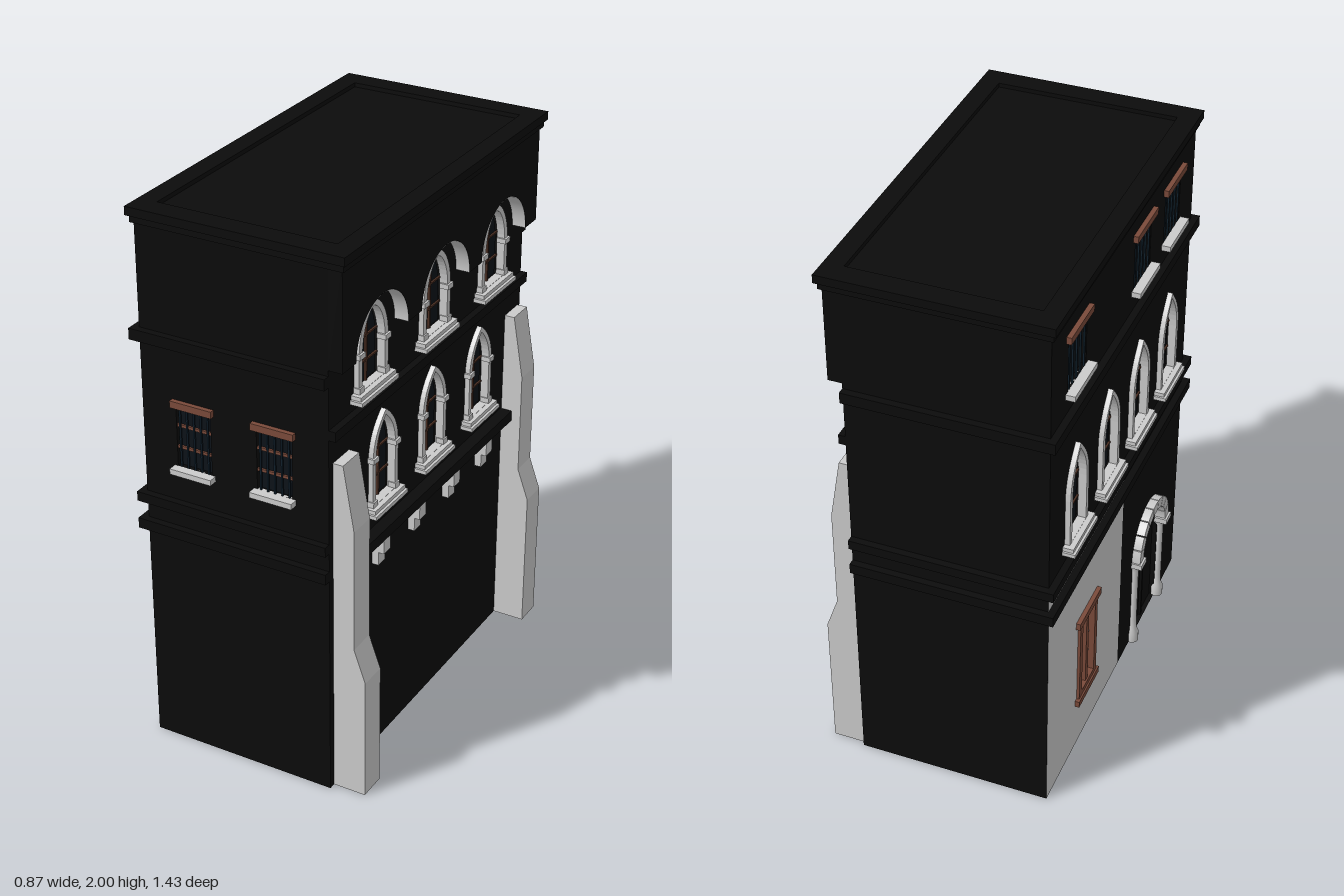
import * as THREE from 'three';

const mat = (color) => new THREE.MeshStandardMaterial({ color, side: THREE.DoubleSide });
const STONE = mat(0xcccccc), DARK = mat(0x0b0b0b), WOOD = mat(0x7a4a3a), BAR = mat(0x4a2e22),
  ORANGE = mat(0xd85a10), GLASS = mat(0x0c1218), IRON = mat(0x10202c);

const XL = -0.39, XR = 0.31, ZF = 0.685, TOP = 1.97, T = 0.02;

function add(parent, name, geo, material, x = 0, y = 0, z = 0) {
  const m = new THREE.Mesh(geo, material);
  m.name = name;
  m.position.set(x, y, z);
  parent.add(m);
  return m;
}

// box given by its min and max corners
function slab(parent, name, material, x0, x1, y0, y1, z0, z1) {
  return add(parent, name, new THREE.BoxGeometry(x1 - x0, y1 - y0, z1 - z0), material,
    (x0 + x1) / 2, (y0 + y1) / 2, (z0 + z1) / 2);
}

const poly = (pts) => new THREE.Shape(pts.map(([x, y]) => new THREE.Vector2(x, y)));
const rect = (x0, x1, y0, y1) => poly([[x0, y0], [x1, y0], [x1, y1], [x0, y1]]);

// opening with straight jambs and an arched head; point: 1 = pointed, 0 = round
function arch(cx, hw, y0, spring, top, point) {
  const r = top - spring, k = 0.55, c = hw * (k - 0.3 * point);
  const s = new THREE.Shape();
  s.moveTo(cx - hw, y0);
  s.lineTo(cx + hw, y0);
  s.lineTo(cx + hw, spring);
  s.bezierCurveTo(cx + hw, spring + r * k, cx + c, top - r * 0.17 * point, cx, top);
  s.bezierCurveTo(cx - c, top - r * 0.17 * point, cx - hw, spring + r * k, cx - hw, spring);
  s.closePath();
  return s;
}

function extrude(parent, name, shape, holes, depth, material, z = 0) {
  shape.holes.push(...holes);
  return add(parent, name, new THREE.ExtrudeGeometry(shape, { depth, bevelEnabled: false, curveSegments: 10 }), material, 0, 0, z);
}

// a facade frame: local x to the right, y up, z outward
function facade(root, name, x, z, turn) {
  const g = new THREE.Group();
  g.name = name;
  g.position.set(x, 0, z);
  g.rotation.y = turn;
  root.add(g);
  return g;
}

// arched window: stone surround, capitals, stepped sill, glazing bars
function archedWindow(parent, cx, o) {
  const g = new THREE.Group();
  g.name = 'archedWindow';
  g.position.x = cx;
  parent.add(g);
  const { hw, y0, spring, top, point, t, sill, out } = o, iw = hw - t;
  extrude(g, 'surround', arch(0, hw, y0, spring, top, point),
    [arch(0, iw, y0 + 0.001, spring, top - t, point)], 0.03, STONE, -0.012);
  add(g, 'glass', new THREE.ShapeGeometry(arch(0, iw, y0, spring, top - t, point)), GLASS, 0, 0, -0.018);
  slab(g, 'centreBar', BAR, -0.004, 0.004, y0, top - t, -0.016, -0.008);
  for (const f of [0.25, 0.55]) {
    const y = y0 + (top - y0) * f;
    slab(g, 'crossBar', BAR, -iw, iw, y - 0.003, y + 0.003, -0.016, -0.009);
  }
  if (o.capitals) for (const s of [-1, 1]) {
    add(g, 'capital', new THREE.BoxGeometry(t + 0.014, 0.018, 0.035), STONE, s * (hw - t / 2), spring, 0.008);
    add(g, 'columnBase', new THREE.BoxGeometry(t + 0.008, 0.02, 0.03), STONE, s * (hw - t / 2), y0 + 0.01, 0.008);
  }
  slab(g, 'sillUpper', STONE, -sill + 0.005, sill - 0.005, y0 - 0.014, y0, -0.01, out - 0.008);
  slab(g, 'sillLower', STONE, -sill, sill, y0 - 0.03, y0 - 0.016, -0.01, out);
}
const archHole = (cx, o) => arch(cx, o.hw - o.t / 2, o.y0, o.spring, o.top - o.t / 2, o.point);

// small rectangular window: wooden lintel, stone sill, bars
function barredWindow(parent, cx, y0, y1, w, rails) {
  const g = new THREE.Group();
  g.name = 'barredWindow';
  g.position.x = cx;
  parent.add(g);
  const h = w * 0.42;
  slab(g, 'lintel', WOOD, -w / 2, w / 2, y1, y1 + 0.025, -0.01, 0.017);
  slab(g, 'sill', STONE, -w / 2, w / 2, y0 - 0.02, y0, -0.01, 0.032);
  slab(g, 'glass', GLASS, -h, h, y0, y1, -0.02, -0.016);
  for (let i = -2; i <= 2; i++) slab(g, 'ironBar', IRON, i * h * 0.4 - 0.003, i * h * 0.4 + 0.003, y0, y1, -0.006, 0);
  if (rails) for (const f of [0.32, 0.68]) {
    const y = y0 + (y1 - y0) * f;
    slab(g, 'rail', WOOD, -h, h, y - 0.005, y + 0.005, -0.012, -0.004);
  }
}

export function createModel() {
  const root = new THREE.Group();
  root.name = 'townHouse';

  // front and back walls
  const mid = (XL + XR) / 2, half = (XR - XL) / 2;
  const front = facade(root, 'frontFacade', mid, ZF, 0);
  const fx = [-0.195 - mid, 0.11 - mid];
  extrude(front, 'frontWall', rect(-half, half, 0, TOP),
    fx.map((x) => rect(x - 0.066, x + 0.066, 1.105, 1.325)), T, DARK, -T);
  fx.forEach((x) => barredWindow(front, x, 1.105, 1.325, 0.158, true));
  const back = facade(root, 'backFacade', mid, -ZF, Math.PI);
  extrude(back, 'backWall', rect(-half, half, 0, TOP), [], T, DARK, -T);

  // right wall with two rows of arched windows
  const right = facade(root, 'rightFacade', XR, 0, Math.PI / 2);
  const upper = { hw: 0.095, y0: 1.45, spring: 1.58, top: 1.742, point: 0.3, t: 0.022, sill: 0.12, out: 0.045, capitals: true };
  const lower = { hw: 0.085, y0: 0.985, spring: 1.16, top: 1.315, point: 0.8, t: 0.02, sill: 0.108, out: 0.045, capitals: true };
  const ux = [-0.43, 0, 0.43], lx = [-0.345, 0, 0.345];
  extrude(right, 'rightWall', rect(-ZF, ZF, 0, TOP),
    [...ux.map((x) => archHole(x, upper)), ...lx.map((x) => archHole(x, lower))], T, DARK, -T);
  ux.forEach((x) => archedWindow(right, x, upper));
  lx.forEach((x) => archedWindow(right, x, lower));

  // overhanging top storey, arched over each upper window
  const R = 0.17, JUT = 0.05, over = new THREE.Shape();
  over.moveTo(-ZF, 1.6);
  for (const x of ux) {
    over.lineTo(x - R, 1.6);
    over.absarc(x, 1.6, R, Math.PI, 0, true);
    const soffit = add(right, 'archSoffit',
      new THREE.CylinderGeometry(R - 0.001, R - 0.001, JUT, 24, 1, true, Math.PI / 2, Math.PI), STONE, x, 1.6, JUT / 2);
    soffit.rotation.x = Math.PI / 2;
  }
  over.lineTo(ZF, 1.6);
  over.lineTo(ZF, TOP);
  over.lineTo(-ZF, TOP);
  extrude(right, 'overhang', over, [], JUT, DARK);

  // right ledges and the corbels under the lower one
  slab(right, 'stringCourse', DARK, -ZF, ZF, 1.355, 1.39, 0, 0.025);
  slab(right, 'ledge', DARK, -0.56, 0.56, 0.85, 0.89, 0, 0.045);
  for (const x of [-0.38, -0.127, 0.127, 0.38]) {
    slab(right, 'corbelTop', STONE, x - 0.023, x + 0.023, 0.8, 0.85, 0, 0.045);
    slab(right, 'corbelFoot', STONE, x - 0.023, x + 0.023, 0.75, 0.8, 0, 0.025);
  }

  // buttresses
  for (const [z, drop] of [[0.557, 0.07], [-0.67, 0]]) {
    extrude(root, 'buttress', poly([[0.31, 0], [0.43, 0], [0.43, 0.53 - drop], [0.387, 0.65 - drop],
      [0.387, 1.03], [0.347, 1.262], [0.31, 1.262]]), [], 0.103, STONE, z);
  }

  // left wall: dark upper part and a plastered corner
  const left = facade(root, 'leftFacade', XL, 0, -Math.PI / 2);
  const slots = [-0.46, -0.155, 0.15, 0.455], small = [slots[0], slots[2], slots[3]], DX = 0.34, WX = -0.31;
  const gothic = { hw: 0.085, y0: 1.05, spring: 1.23, top: 1.41, point: 1, t: 0.02, sill: 0.108, out: 0.045 };
  extrude(left, 'leftWall', poly([[0.05, 0], [ZF, 0], [ZF, TOP], [-ZF, TOP], [-ZF, 0.94], [0.05, 0.94]]),
    [...slots.map((x) => archHole(x, gothic)), ...small.map((x) => rect(x - 0.08, x + 0.08, 1.66, 1.85)),
      arch(DX, 0.125, 0.001, 0.39, 0.515, 0)], T, DARK, -T);
  extrude(left, 'plasterWall', rect(-ZF, 0.05, 0, 0.94), [rect(WX - 0.08, WX + 0.08, 0.22, 0.565)], T, STONE, -T);
  slots.forEach((x) => archedWindow(left, x, gothic));
  small.forEach((x) => barredWindow(left, x, 1.66, 1.85, 0.2, false));

  // shuttered ground floor window
  extrude(left, 'windowFrame', rect(WX - 0.085, WX + 0.085, 0.215, 0.57),
    [rect(WX - 0.06, WX + 0.06, 0.24, 0.55)], 0.025, WOOD, -0.015);
  slab(left, 'windowLintel', WOOD, WX - 0.105, WX + 0.105, 0.565, 0.592, -0.01, 0.016);
  slab(left, 'windowSill', WOOD, WX - 0.1, WX + 0.1, 0.195, 0.22, -0.01, 0.016);
  slab(left, 'windowPane', ORANGE, WX - 0.07, WX + 0.07, 0.23, 0.56, -0.019, -0.013);
  slab(left, 'windowMullion', WOOD, WX - 0.008, WX + 0.014, 0.23, 0.56, -0.013, 0.004);
  for (const y of [0.25, 0.36, 0.46]) slab(left, 'paleLight', STONE, WX + 0.022, WX + 0.055, y, y + 0.085, -0.013, -0.01);

  // doorway: leaf, columns and voussoir arch
  add(left, 'door', new THREE.ShapeGeometry(arch(DX, 0.125, 0, 0.39, 0.515, 0)), DARK, 0, 0, -0.018);
  slab(left, 'doorPost', DARK, DX - 0.006, DX + 0.006, 0, 0.515, -0.018, -0.008);
  slab(left, 'doorRail', DARK, DX - 0.125, DX + 0.125, 0.38, 0.395, -0.018, -0.008);
  for (const s of [-1, 1]) {
    const x = DX + s * 0.142;
    const shaft = [[0.024, 0], [0.024, 0.04], [0.016, 0.06], [0.014, 0.1], [0.014, 0.34], [0.024, 0.37], [0.024, 0.39]];
    add(left, 'doorColumn', new THREE.LatheGeometry(shaft.map(([r, y]) => new THREE.Vector2(r, y)), 12), STONE, x, 0, 0.006);
    slab(left, 'doorCapital', STONE, x - 0.027, x + 0.027, 0.37, 0.392, -0.01, 0.04);
  }
  const N = 9;
  for (let i = 0; i < N; i++) {
    const a = (i / N) * Math.PI + 0.012, b = ((i + 1) / N) * Math.PI - 0.012;
    const s = new THREE.Shape();
    s.absarc(DX, 0.39, 0.163, a, b, false);
    s.absarc(DX, 0.39, 0.123, b, a, true);
    extrude(left, 'archStone', s, [], 0.042, STONE, -0.01);
  }

  // string courses wrapping the back, left and front
  for (const [y0, y1] of [[1.54, 1.58], [0.94, 0.975], [0.835, 0.873]]) {
    slab(root, 'stringCourse', DARK, -0.415, XL, y0, y1, -0.71, 0.71);
    for (const s of [-1, 1]) add(root, 'stringCourse', new THREE.BoxGeometry(XR - XL, y1 - y0, 0.025), DARK, mid, (y0 + y1) / 2, s * 0.6975);
  }

  // cornice ring and sunken roof
  for (const [e, y, h] of [[0.01, 1.945, 0.025], [0.02, 1.97, 0.03]]) {
    const ring = extrude(root, 'cornice', rect(XL - e, XR + JUT + e, -ZF - e, ZF + e),
      [rect(XL + 0.05, XR, -ZF + 0.06, ZF - 0.06)], h, DARK);
    ring.rotation.x = -Math.PI / 2;
    ring.position.y = y;
  }
  slab(root, 'roof', DARK, XL + 0.01, XR + 0.02, 1.95, 1.985, -ZF + 0.01, ZF - 0.01);
  return root;
}
